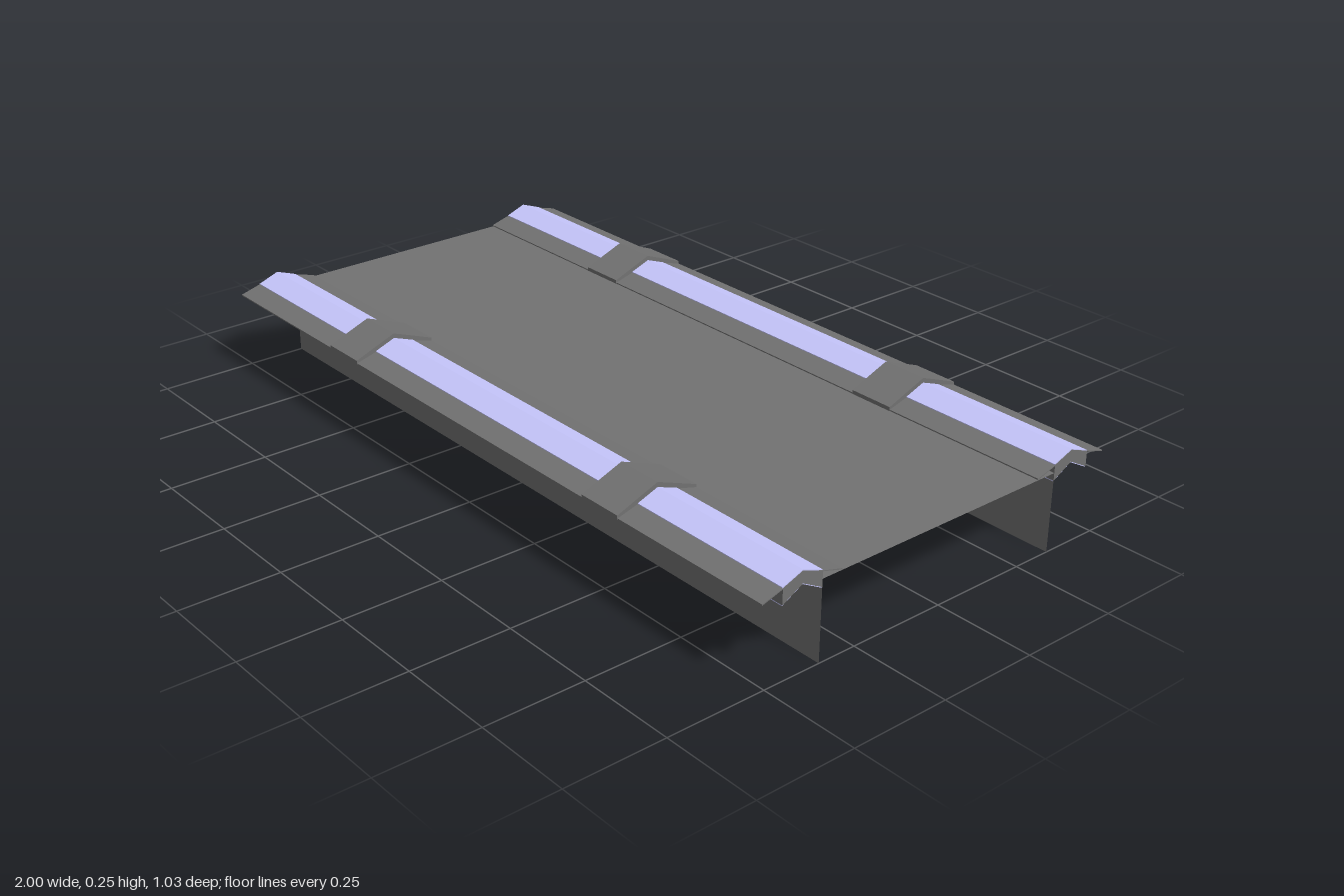
import * as THREE from 'three';

const grey = new THREE.MeshStandardMaterial({ color: 0x727272, side: THREE.DoubleSide });
const blue = new THREE.MeshStandardMaterial({ color: 0xc8c8ff, side: THREE.DoubleSide });

// Extrude a closed [z, y] outline along x, centred on x = 0
function prism(name, outline, length, material) {
  const shape = new THREE.Shape(outline.map(([z, y]) => new THREE.Vector2(z, y)));
  const geometry = new THREE.ExtrudeGeometry(shape, { depth: length, bevelEnabled: false });
  geometry.translate(0, 0, -length / 2).rotateY(-Math.PI / 2);
  const mesh = new THREE.Mesh(geometry, material);
  mesh.name = name;
  return mesh;
}

// Complete a half outline (outer side, top to bottom) by mirroring it
const mirrored = (half) => [...half, ...half.filter(([z]) => z > 0).reverse().map(([z, y]) => [-z, y])];

// Thin open sheet
function sheet(name, width, height) {
  const mesh = new THREE.Mesh(new THREE.PlaneGeometry(width, height), grey);
  mesh.name = name;
  return mesh;
}

// One light rail: solid body with drooping wings, lit strips and two clips
function lightRail(name) {
  const rail = new THREE.Group();
  rail.name = name;

  // Body with wings
  rail.add(prism('railBody', mirrored([
    [0, 0.236], [0.054, 0.216], [0.108, 0.201], [0.108, 0.198],
    [0.054, 0.214], [0.054, 0.178], [0, 0.207],
  ]), 2, grey));

  // Lit strips over and under the body
  rail.add(prism('upperLightStrip', mirrored([[0, 0.238], [0.054, 0.218], [0.054, 0.216], [0, 0.236]]), 1.998, blue));
  rail.add(prism('lowerLightStrip', mirrored([[0, 0.207], [0.054, 0.178], [0.054, 0.176], [0, 0.205]]), 1.998, blue));

  // Clips wrapped around the rail
  for (const x of [-0.5, 0.5]) {
    const clip = prism('railClip', mirrored([
      [0, 0.25], [0.055, 0.229], [0.109, 0.208], [0.109, 0.198],
      [0.055, 0.216], [0.055, 0.173], [0, 0.203],
    ]), 0.12, grey);
    clip.position.x = x;
    rail.add(clip);
  }
  return rail;
}

export function createModel() {
  const model = new THREE.Group();
  model.name = 'lightedWalkway';

  // Flat deck
  const deck = sheet('deck', 2, 0.7);
  deck.rotation.x = -Math.PI / 2;
  deck.position.y = 0.197;
  model.add(deck);

  // Side walls and rails along both long edges
  for (const side of [1, -1]) {
    const wall = sheet(side > 0 ? 'frontWall' : 'backWall', 2, 0.197);
    wall.position.set(0, 0.0985, side * 0.35);
    model.add(wall);

    const rail = lightRail(side > 0 ? 'frontLightRail' : 'backLightRail');
    rail.position.z = side * 0.404;
    model.add(rail);
  }
  return model;
}
